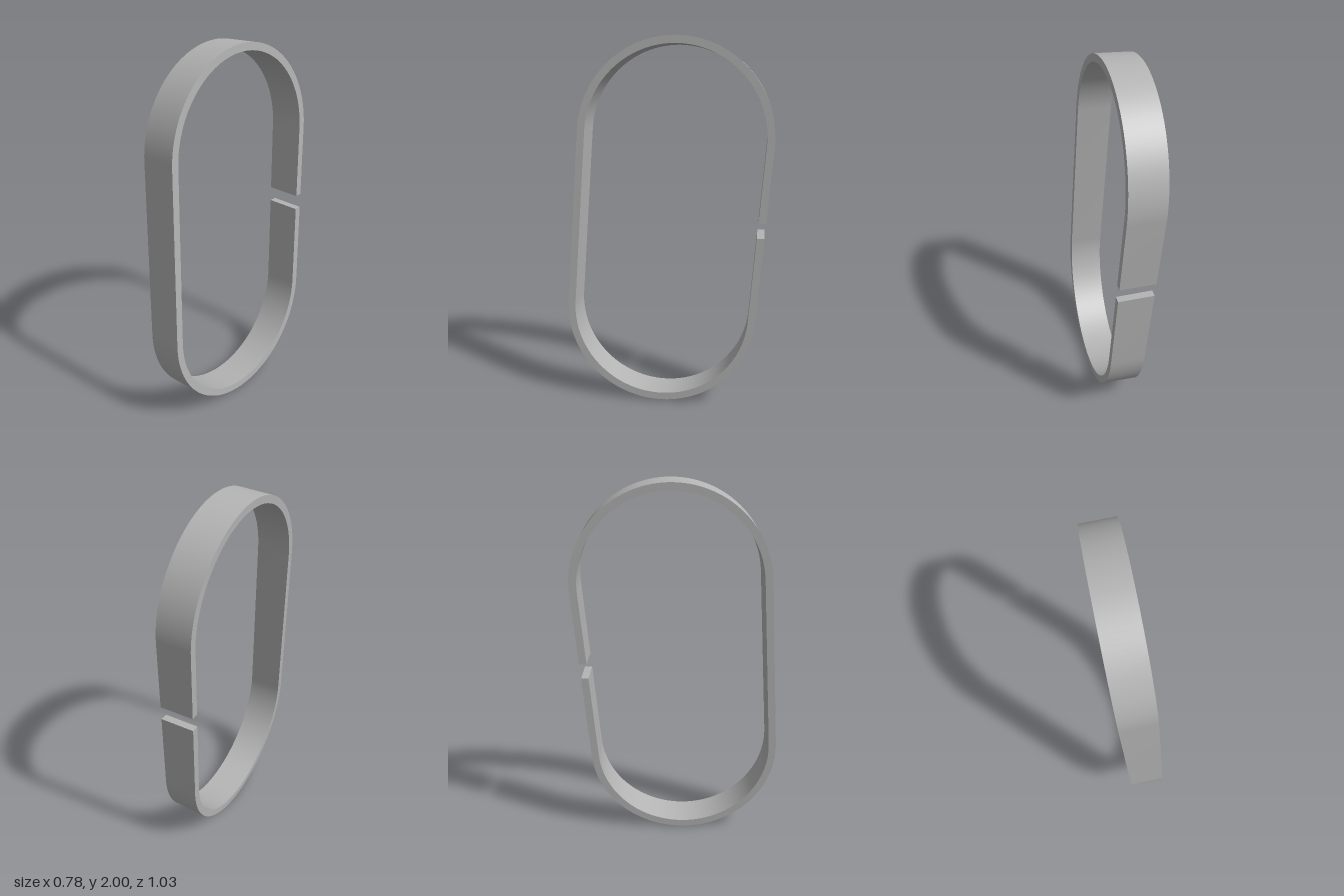
import * as THREE from 'three';
import { toCreasedNormals } from 'three/addons/utils/BufferGeometryUtils.js';

const OUTER = 0.521, INNER = 0.481;   // radii of the rounded ends
const HALF = 0.478;                   // half length of the straight sides
const DEPTH = 0.188;                  // width of the band
const GAP_LOW = 0.963, GAP_HIGH = 1.045; // heights of the level cut faces
const TILT = new THREE.Euler(-0.09, 0.916, 0);

export function createModel() {
  const steel = new THREE.MeshStandardMaterial({ color: 0xb4b4b4 });
  steel.name = 'grey steel';

  // Open oval band outline, split on its right side
  const low = 0, high = 0.085;
  const band = new THREE.Shape();
  band.moveTo(OUTER, low);
  band.lineTo(OUTER, -HALF);
  band.absarc(0, -HALF, OUTER, 0, -Math.PI, true);
  band.absarc(0, HALF, OUTER, Math.PI, 0, true);
  band.lineTo(OUTER, high);
  band.lineTo(INNER, high);
  band.absarc(0, HALF, INNER, 0, Math.PI, false);
  band.absarc(0, -HALF, INNER, -Math.PI, 0, false);
  band.lineTo(INNER, low);
  band.closePath();

  let geometry = new THREE.ExtrudeGeometry(band, { depth: DEPTH, bevelEnabled: false, curveSegments: 32 });
  geometry.translate(0, 0, -DEPTH / 2);

  // Slide the end corners along the band so both cut faces are level
  const pos = geometry.attributes.position;
  const p = new THREE.Vector3();
  for (let i = 0; i < pos.count; i++) {
    p.fromBufferAttribute(pos, i);
    if (p.x < 0.4 || Math.abs(p.y) > 0.2) continue;
    const y = p.y;
    const target = y > 0.04 ? GAP_HIGH : GAP_LOW;
    const height = 1 + p.applyEuler(TILT).y;
    pos.setY(i, y + (target - height) / Math.cos(TILT.x));
  }
  geometry = toCreasedNormals(geometry, 0.5);

  const link = new THREE.Mesh(geometry, steel);
  link.name = 'splitLink';
  link.rotation.copy(TILT);
  link.position.y = 1;

  const model = new THREE.Group();
  model.name = 'splitLinkModel';
  model.add(link);
  return model;
}
